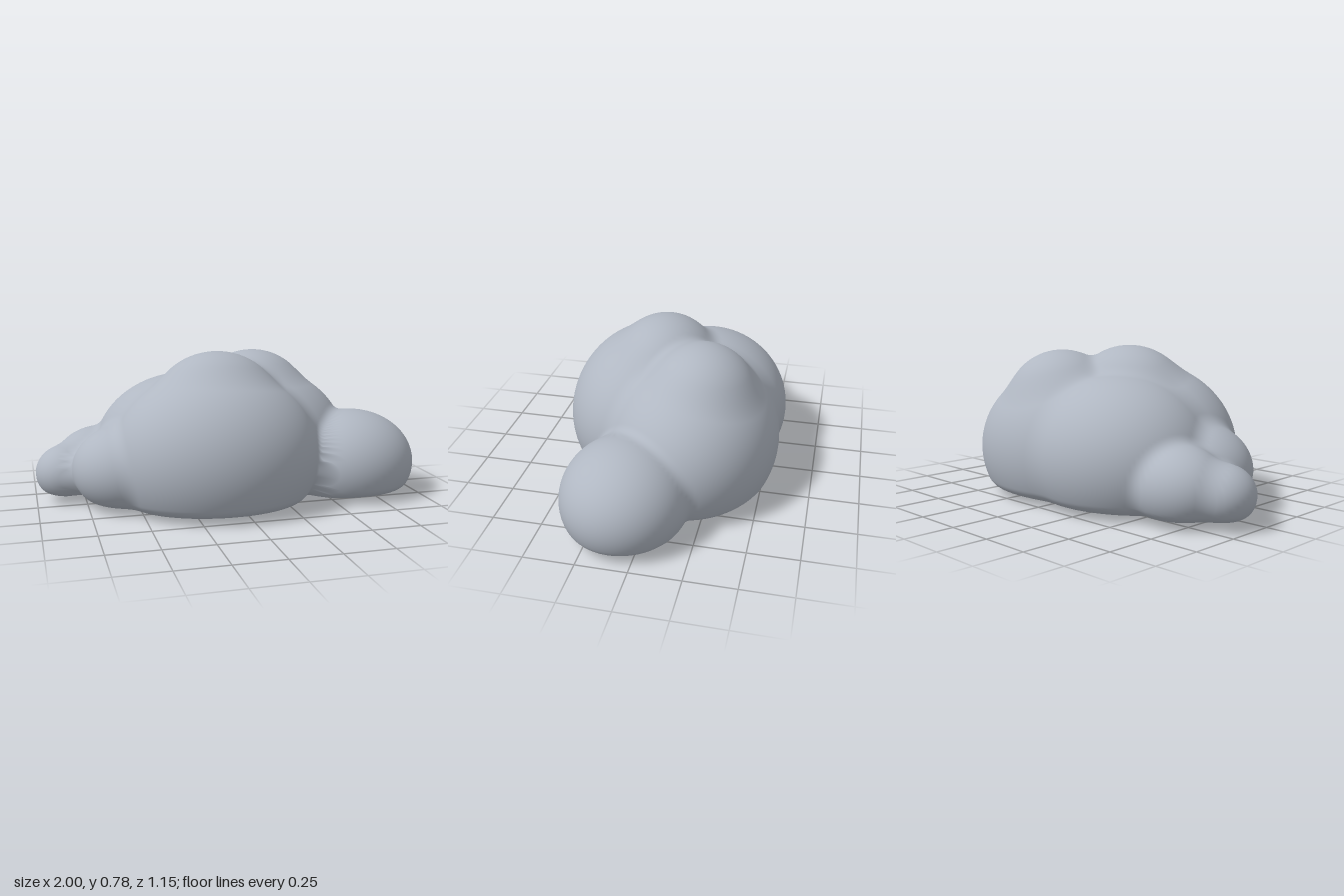
import * as THREE from 'three';

// Puffs of the cloud: centre x, y, z and radii x, y, z
const puffs = [
  [-0.10, 0.25, 0.13, 0.54, 0.45, 0.445], // front
  [0.15, 0.24, -0.13, 0.54, 0.44, 0.44], // back left
  [-0.20, 0.24, -0.13, 0.49, 0.41, 0.44], // back right
  [-0.08, 0.455, 0.07, 0.35, 0.328, 0.30], // front crown
  [0.18, 0.46, -0.17, 0.315, 0.298, 0.29], // back crown
  [0.65, 0.17, 0.10, 0.348, 0.28, 0.313], // left lobe
  [-0.52, 0.20, 0.06, 0.305, 0.235, 0.27], // right front lobe
  [-0.65, 0.17, -0.21, 0.25, 0.20, 0.215], // right back lobe
  [-0.84, 0.15, -0.13, 0.16, 0.145, 0.165], // right tip
];

// Soft minimum, which rounds the crease between two shapes
function softMin(a, b, k) {
  const h = Math.max(k - Math.abs(a - b), 0) / k;
  return Math.min(a, b) - h * h * k * 0.25;
}

// Approximate signed distance to one puff
function puffDistance([cx, cy, cz, rx, ry, rz], x, y, z) {
  const dx = (x - cx) / rx, dy = (y - cy) / ry, dz = (z - cz) / rz;
  const k0 = Math.hypot(dx, dy, dz);
  const k1 = Math.hypot(dx / rx, dy / ry, dz / rz);
  return k1 < 1e-6 ? -Math.min(rx, ry, rz) : (k0 * (k0 - 1)) / k1;
}

// Signed distance to the whole cloud, cut by a faintly bowed base
function cloudDistance(x, y, z) {
  let d = 10;
  for (const p of puffs) d = softMin(d, puffDistance(p, x, y, z), 0.04);
  const base = 0.004 + 0.026 * Math.min(1, (x * x) / 0.8 + (z * z) / 0.25);
  return -softMin(-d, y - base, 0.05);
}

// Shrinks a sphere onto the cloud along rays towards its core
function cloudGeometry() {
  const geometry = new THREE.SphereGeometry(1, 220, 140);
  const position = geometry.attributes.position;
  const normal = geometry.attributes.normal;
  const core = new THREE.Vector3(0, 0.2, 0);
  const dir = new THREE.Vector3(), p = new THREE.Vector3(), n = new THREE.Vector3();
  const e = 0.004;
  for (let i = 0; i < position.count; i++) {
    dir.fromBufferAttribute(position, i);
    dir.y *= 0.5; // more rows around the rim
    dir.normalize();
    let t = 1.3;
    for (let step = 0; step < 120; step++) {
      p.copy(core).addScaledVector(dir, t);
      const d = cloudDistance(p.x, p.y, p.z);
      if (d < 0.0003) break;
      t -= d * 0.6;
    }
    position.setXYZ(i, p.x, p.y, p.z);
    n.set(
      cloudDistance(p.x + e, p.y, p.z) - cloudDistance(p.x - e, p.y, p.z),
      cloudDistance(p.x, p.y + e, p.z) - cloudDistance(p.x, p.y - e, p.z),
      cloudDistance(p.x, p.y, p.z + e) - cloudDistance(p.x, p.y, p.z - e),
    ).normalize();
    normal.setXYZ(i, n.x, n.y, n.z);
  }
  return geometry;
}

export function createModel() {
  const model = new THREE.Group();
  model.name = 'cloud';
  const cloudGrey = new THREE.MeshStandardMaterial({ color: 0xb0b7c2 });
  cloudGrey.name = 'cloudGrey';
  const body = new THREE.Mesh(cloudGeometry(), cloudGrey);
  body.name = 'cloudBody';
  model.add(body);
  return model;
}
